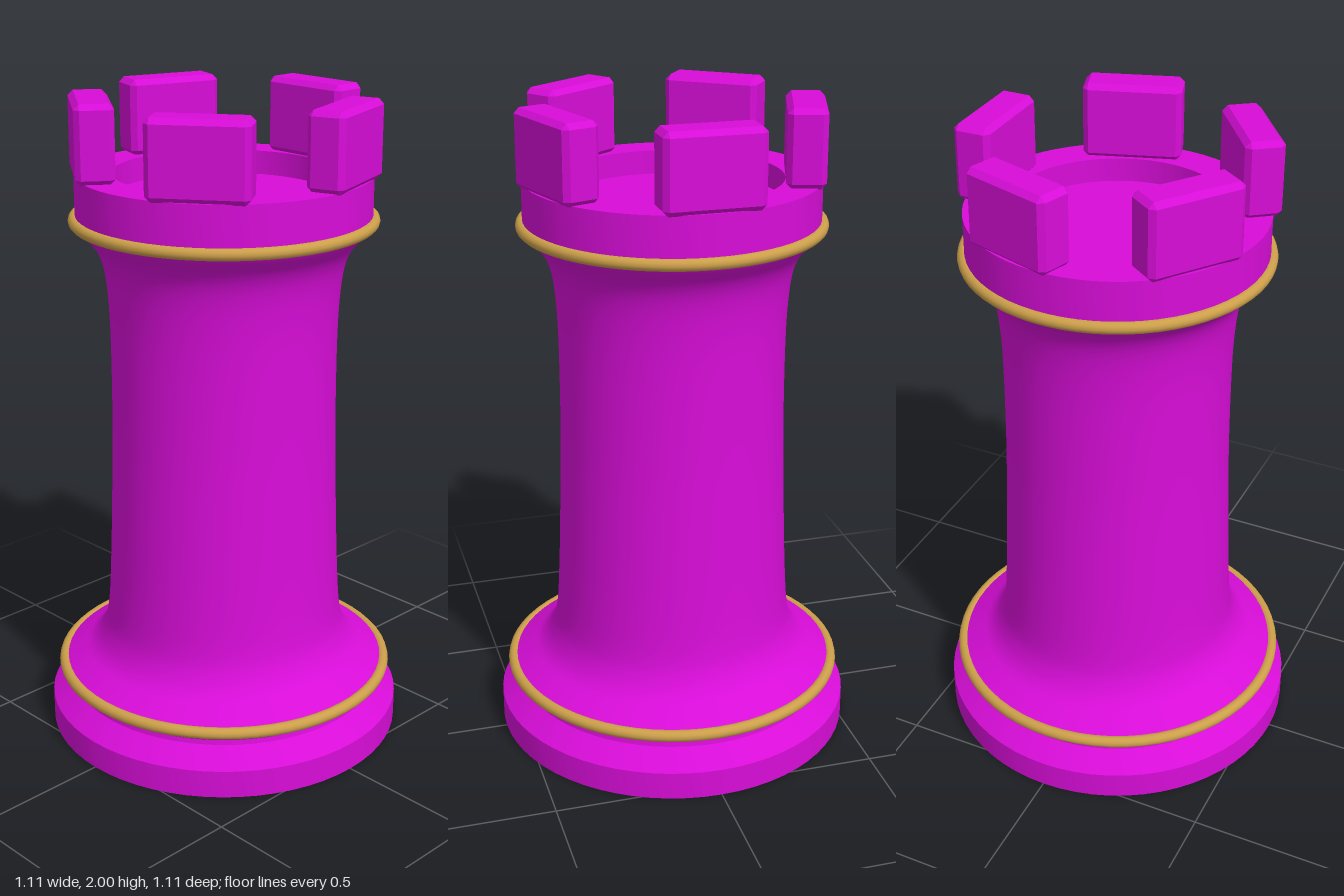
import * as THREE from 'three';
import { toCreasedNormals } from 'three/addons/utils/BufferGeometryUtils.js';
import { ConvexGeometry } from 'three/addons/geometries/ConvexGeometry.js';

const SEGMENTS = 64;

// Box with every edge cut at 45 degrees
function chamferedBox(w, h, d, c) {
  const pts = [];
  for (const sx of [-1, 1]) for (const sy of [-1, 1]) for (const sz of [-1, 1]) {
    const x = w / 2, y = h / 2, z = d / 2;
    pts.push(
      new THREE.Vector3(sx * x, sy * (y - c), sz * (z - c)),
      new THREE.Vector3(sx * (x - c), sy * y, sz * (z - c)),
      new THREE.Vector3(sx * (x - c), sy * (y - c), sz * z)
    );
  }
  return new ConvexGeometry(pts);
}

function turned(points) {
  return toCreasedNormals(new THREE.LatheGeometry(points, SEGMENTS), 0.6);
}

const toPoints = (list) => list.map(([x, y]) => new THREE.Vector2(x, y));

export function createModel() {
  const magenta = new THREE.MeshStandardMaterial({ color: 0xd80dd8 });
  magenta.name = 'magenta';
  const gold = new THREE.MeshStandardMaterial({ color: 0xcc9f4a });
  gold.name = 'gold';

  const group = new THREE.Group();
  group.name = 'rook';
  const add = (name, geometry, material, parent = group) => {
    const mesh = new THREE.Mesh(geometry, material);
    mesh.name = name;
    parent.add(mesh);
    return mesh;
  };

  // Foot: plinth, sloped shoulder and narrow neck
  add('base', turned(toPoints([
    [0, 0], [0.555, 0], [0.555, 0.088], [0.49, 0.14],
    [0.487, 0.155], [0.495, 0.168], [0.515, 0.18], [0.515, 0.2], [0, 0.2],
  ])), magenta);

  // Shaft with a smooth flare at both ends
  const shaft = new THREE.SplineCurve(toPoints([
    [0.51, 0.205], [0.46, 0.235], [0.42, 0.262], [0.39, 0.305], [0.371, 0.37],
    [0.36, 0.52], [0.35, 0.78], [0.344, 1.0], [0.343, 1.25], [0.348, 1.4],
    [0.361, 1.5], [0.386, 1.56], [0.425, 1.605], [0.44, 1.63],
  ]));
  add('shaft', turned(shaft.getPoints(52)), magenta);

  // Collar with a shallow round recess
  add('collar', turned(toPoints([
    [0.44, 1.625], [0.44, 1.773], [0.33, 1.773], [0.33, 1.7], [0, 1.7],
  ])), magenta);

  // Gold rings
  for (const [name, radius, y] of [['lowerRing', 0.514, 0.194], ['upperRing', 0.443, 1.636]]) {
    const ring = add(name, new THREE.TorusGeometry(radius, 0.018, 12, SEGMENTS), gold);
    ring.rotation.x = Math.PI / 2;
    ring.position.y = y;
  }

  // Five battlements around the rim
  const block = chamferedBox(0.115, 0.23, 0.294, 0.016);
  for (let i = 0; i < 5; i++) {
    const pivot = new THREE.Group();
    pivot.name = 'battlement' + (i + 1);
    pivot.rotation.y = (i * Math.PI * 2) / 5;
    group.add(pivot);
    add('battlementBlock', block, magenta, pivot).position.set(0.386, 1.885, 0);
  }

  return group;
}
